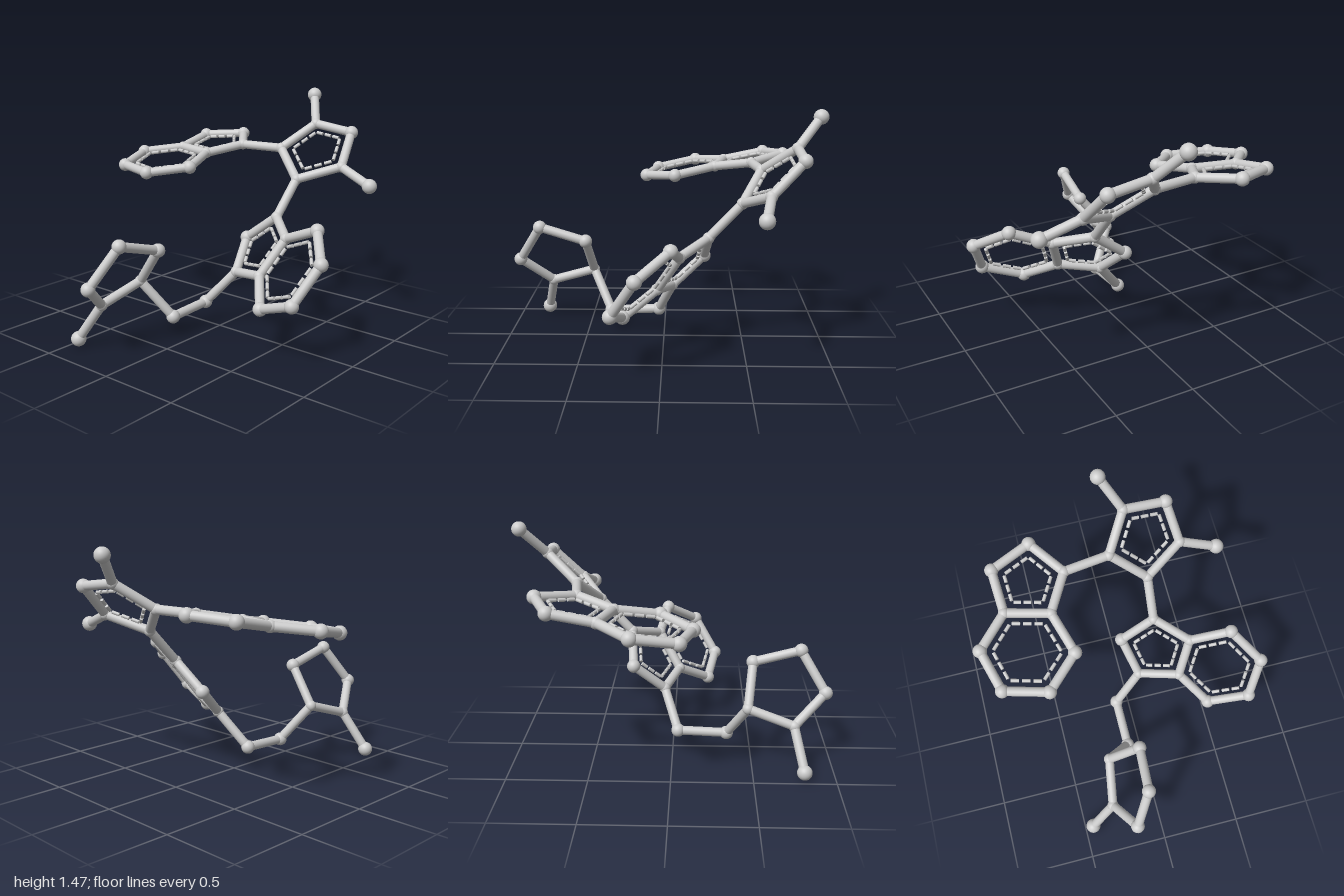
import * as THREE from 'three';

// Joint positions, grouped by ring or chain
const J = {
  // upper five-sided ring with two tails
  a1: [0.6, 1.1, 0.035], a2: [0.8, 1.255, 0.175], a3: [0.81, 1.22, 0.447], a4: [0.62, 1.025, 0.495], a5: [0.475, 0.935, 0.25],
  a6: [0.95, 1.43, 0.06], a7: [0.575, 0.937, 0.73],
  // flat double ring at the back
  b1: [0.56, 1.1, -0.26], b2: [0.78, 1.135, -0.428], b3: [0.67, 1.115, -0.685], b4: [0.4, 1.06, -0.67], b5: [0.33, 1.055, -0.395],
  b6: [0.065, 1.005, -0.31], b7: [-0.13, 0.973, -0.512], b8: [-0.057, 0.983, -0.785], b9: [0.205, 1.032, -0.86],
  // tilted double ring at the front
  c1: [0.275, 0.72, 0.242], c2: [0.253, 0.553, 0.022], c3: [0.055, 0.378, 0.09], c4: [-0.035, 0.425, 0.343], c5: [0.1, 0.65, 0.44],
  c6: [0.053, 0.755, 0.695], c7: [-0.14, 0.625, 0.852], c8: [-0.282, 0.397, 0.757], c9: [-0.23, 0.303, 0.497],
  // two-joint chain
  d1: [-0.035, 0.16, -0.09], d2: [-0.345, 0.147, -0.09],
  // plain five-sided ring with one tail
  e1: [-0.47, 0.38, -0.245], e2: [-0.505, 0.62, -0.055], e3: [-0.8, 0.705, -0.075], e4: [-0.95, 0.465, -0.18], e5: [-0.752, 0.29, -0.293],
  e6: [-0.81, 0.053, -0.447],
};

// Closed rings; dashed ones carry an inner broken outline
const RINGS = [
  { name: 'upperRing', ids: 'a1 a2 a3 a4 a5', dashed: true },
  { name: 'backSmallRing', ids: 'b1 b2 b3 b4 b5', dashed: true },
  { name: 'backLargeRing', ids: 'b4 b5 b6 b7 b8 b9', dashed: true },
  { name: 'frontSmallRing', ids: 'c1 c2 c3 c4 c5', dashed: true },
  { name: 'frontLargeRing', ids: 'c5 c4 c9 c8 c7 c6', dashed: true },
  { name: 'plainRing', ids: 'e1 e2 e3 e4 e5', dashed: false },
];
const LINKS = ['a2 a6', 'a4 a7', 'a1 b1', 'a5 c1', 'c3 d1', 'd1 d2', 'd2 e1', 'e5 e6'];

const STICK = 0.029, DASH = 0.011, INSET = 0.066;
const BALL = { 1: 0.047, 2: 0.043, 3: 0.036 };

export function createModel() {
  const model = new THREE.Group();
  const mat = new THREE.MeshStandardMaterial({ color: 0xcccccc });
  const points = {}, degree = {};
  for (const id in J) {
    points[id] = new THREE.Vector3(...J[id]);
    degree[id] = 0;
  }

  // Round bar between two points
  const bar = (p, q, r, sides, name, parent) => {
    const dir = q.clone().sub(p);
    const mesh = new THREE.Mesh(new THREE.CylinderGeometry(r, r, dir.length(), sides), mat);
    mesh.position.copy(p).add(q).multiplyScalar(0.5);
    mesh.quaternion.setFromUnitVectors(new THREE.Vector3(0, 1, 0), dir.normalize());
    mesh.name = name;
    parent.add(mesh);
  };

  // Sticks, skipping edges shared by two rings
  const done = new Set();
  const stick = (i, j, parent) => {
    const key = [i, j].sort().join();
    if (done.has(key)) return;
    done.add(key);
    degree[i]++;
    degree[j]++;
    bar(points[i], points[j], STICK, 24, 'stick', parent);
  };

  for (const { name, ids, dashed } of RINGS) {
    const ring = new THREE.Group();
    ring.name = name;
    model.add(ring);
    const list = ids.split(' '), n = list.length;
    const centre = new THREE.Vector3();
    list.forEach((id) => centre.addScaledVector(points[id], 1 / n));
    const radius = list.reduce((s, id) => s + points[id].distanceTo(centre) / n, 0);
    const pull = INSET / (radius * Math.cos(Math.PI / n));
    const inner = list.map((id) => points[id].clone().lerp(centre, pull));
    list.forEach((id, k) => {
      const next = (k + 1) % n;
      stick(id, list[next], ring);
      if (!dashed) return;
      // Three dashes along each inner edge
      for (const t of [0.17, 0.5, 0.83]) {
        const p = inner[k].clone().lerp(inner[next], t - 0.12);
        const q = inner[k].clone().lerp(inner[next], t + 0.12);
        bar(p, q, DASH, 12, 'dash', ring);
      }
    });
  }

  // Links and tails outside the rings
  const links = new THREE.Group();
  links.name = 'links';
  model.add(links);
  for (const l of LINKS) stick(...l.split(' '), links);

  // Balls, larger at the free ends
  const joints = new THREE.Group();
  joints.name = 'joints';
  model.add(joints);
  for (const id in points) {
    const ball = new THREE.Mesh(new THREE.SphereGeometry(BALL[degree[id]], 28, 18), mat);
    ball.position.copy(points[id]);
    ball.name = degree[id] === 1 ? 'endBall' : 'joint';
    joints.add(ball);
  }
  return model;
}
